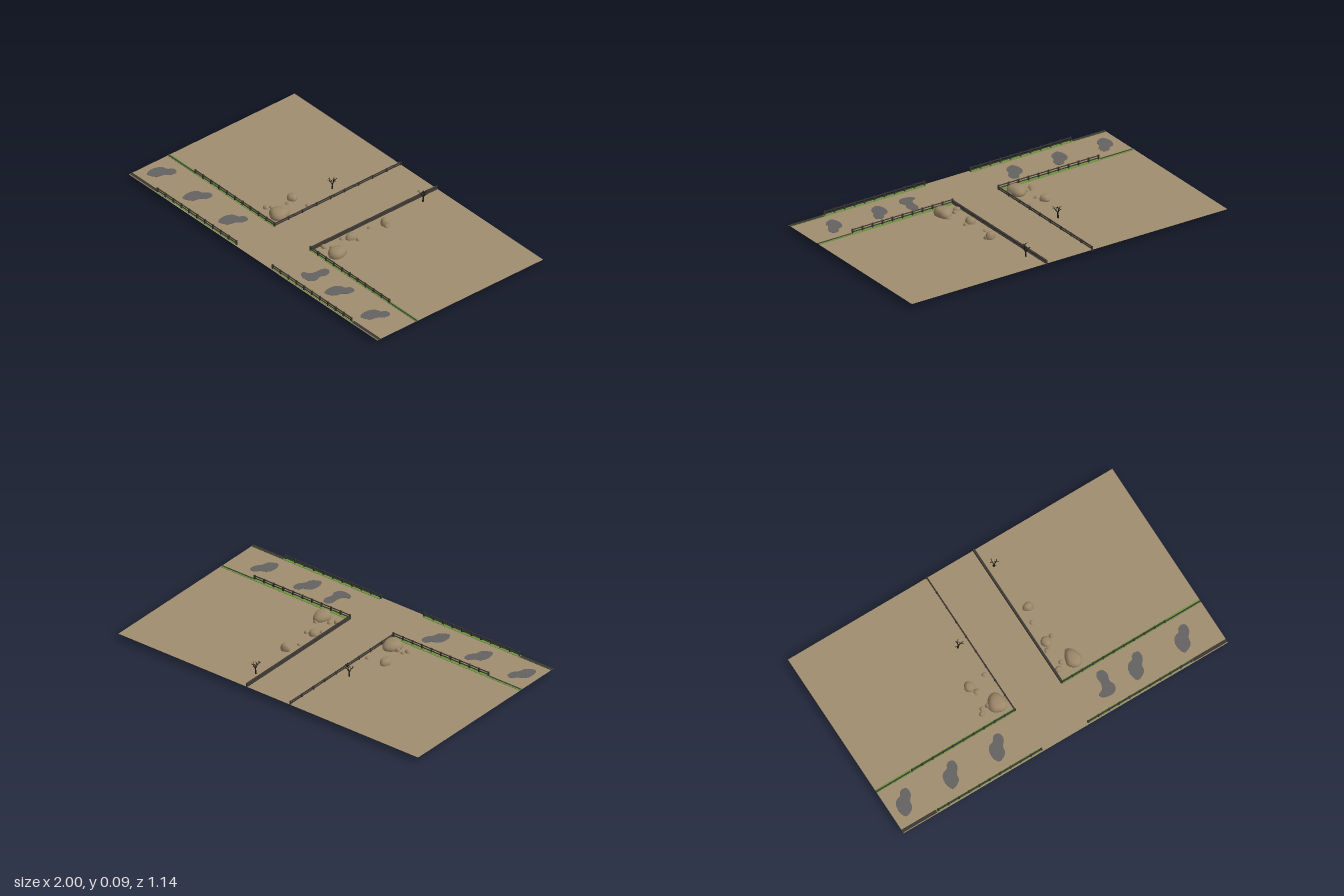
import * as THREE from 'three';
import { mergeVertices } from 'three/addons/utils/BufferGeometryUtils.js';

const GROUND = 0.025;
const mat = (name, color, side = THREE.FrontSide) => {
  const m = new THREE.MeshStandardMaterial({ color, side });
  m.name = name;
  return m;
};

export function createModel() {
  const root = new THREE.Group();
  root.name = 'countryCrossroads';
  const soil = mat('soil', 0xa08d6e, THREE.DoubleSide);
  const stone = mat('stone', 0x9c8869);
  const wood = mat('fenceWood', 0x3b3732);
  const bark = mat('bark', 0x1f1a14);
  const grass = mat('grass', 0x6c9440);
  const water = mat('puddle', 0x656362);

  const add = (name, geo, material, x, y, z, parent = root) => {
    const m = new THREE.Mesh(geo, material);
    m.name = name;
    m.position.set(x, y, z);
    parent.add(m);
    return m;
  };
  const box = (name, w, h, d, material, x, y, z, parent) =>
    add(name, new THREE.BoxGeometry(w, h, d), material, x, y, z, parent);

  // Flat ground sheet
  add('ground', new THREE.PlaneGeometry(2, 1.14).rotateX(-Math.PI / 2), soil, 0, GROUND, 0);

  // Verges and dark trodden strips beside the lane
  for (const s of [-1, 1]) {
    box('innerVerge', 0.855, 0.002, 0.02, grass, s * 0.5725, GROUND + 0.0011, 0.296);
    box('outerVerge', 0.855, 0.002, 0.016, grass, s * 0.5725, GROUND + 0.0011, 0.555);
    box('innerDarkStrip', 0.21, 0.001, 0.008, wood, s * 0.895, GROUND + 0.003, 0.298);
    box('outerDarkStrip', 0.21, 0.001, 0.018, wood, s * 0.895, GROUND + 0.003, 0.557);
  }

  // Post and two-rail fence running along local x
  function fence(name, length, bottom, top, rails, railWidth, railHeight, spacing) {
    const g = new THREE.Group();
    g.name = name;
    const count = Math.round(length / spacing);
    for (let i = 0; i <= count; i++) {
      box('post', 0.008, top - bottom, 0.008, wood, -length / 2 + (i * length) / count, (top + bottom) / 2, 0, g);
    }
    for (const y of rails) box('rail', length, railHeight, railWidth, wood, 0, y, 0, g);
    root.add(g);
    return g;
  }
  for (const s of [-1, 1]) {
    for (const z of [0.3, 0.559]) {
      fence(z < 0.4 ? 'innerLaneFence' : 'outerLaneFence', 0.635, 0.021, 0.051, [0.034, 0.047], 0.005, 0.004, 0.065)
        .position.set(s * 0.4625, 0, z);
    }
    const side = fence('sideFence', 0.865, 0.019, 0.044, s > 0 ? [0.0255, 0.039] : [0.03, 0.041],
      s > 0 ? 0.012 : 0.005, s > 0 ? 0.007 : 0.005, 0.1);
    side.rotation.y = Math.PI / 2;
    side.position.set(s * 0.145, 0, -0.134);
  }

  // Lumpy boulders with a flattened underside
  const ball = new THREE.IcosahedronGeometry(1, 4);
  ball.deleteAttribute('normal');
  ball.deleteAttribute('uv');
  const smoothBall = mergeVertices(ball);
  function rock(x, z, rx, rz, bottom, top, seed) {
    const geo = smoothBall.clone();
    const p = geo.attributes.position;
    const v = new THREE.Vector3();
    for (let i = 0; i < p.count; i++) {
      v.fromBufferAttribute(p, i);
      const lump = 1 + 0.07 * Math.sin(3 * v.x + seed) + 0.06 * Math.sin(4 * v.z + seed * 2.3);
      const q = Math.pow(v.x ** 4 + v.y ** 4 + v.z ** 4, -0.13);
      const y = Math.max(-0.45, Math.min(1, v.y * q));
      p.setXYZ(i, v.x * lump * rx, bottom + ((y + 0.45) / 1.45) * (top - bottom), v.z * lump * rz);
    }
    geo.computeVertexNormals();
    add('boulder', geo, stone, x, 0, z);
  }
  [
    // left of the path
    [-0.207, 0.217, 0.05, 0.056, 0.02, 0.068],
    [-0.168, 0.222, 0.024, 0.024, 0.015, 0.042],
    [-0.3, 0.225, 0.016, 0.015, 0.016, 0.04],
    [-0.287, 0.2, 0.011, 0.011, 0.018, 0.036],
    [-0.252, 0.202, 0.014, 0.014, 0.016, 0.045],
    [-0.277, 0.063, 0.03, 0.03, 0.02, 0.053],
    [-0.257, 0.107, 0.022, 0.022, 0, 0.034],
    [-0.175, 0.045, 0.014, 0.014, 0.012, 0.036],
    // right of the path
    [0.263, 0.217, 0.046, 0.052, 0.02, 0.067],
    [0.265, 0.165, 0.016, 0.015, 0.018, 0.036],
    [0.17, 0.226, 0.019, 0.019, 0.015, 0.04],
    [0.2, 0.2, 0.013, 0.013, 0.017, 0.038],
    [0.195, 0.063, 0.03, 0.03, 0.015, 0.052],
    [0.175, 0.106, 0.016, 0.018, 0.003, 0.034],
    [0.236, 0.048, 0.012, 0.012, 0.013, 0.038],
    [0.215, -0.152, 0.028, 0.024, 0.02, 0.062],
    [0.24, -0.145, 0.011, 0.014, 0.018, 0.04],
    [0.19, -0.068, 0.012, 0.012, 0.02, 0.034],
  ].forEach((r, i) => rock(...r, i * 1.7));

  // Bare trees grown by forking tapered limbs
  const UP = new THREE.Vector3(0, 1, 0);
  function limb(parent, start, dir, length, radius, depth, turn) {
    const end = start.clone().addScaledVector(dir, length);
    const mid = start.clone().lerp(end, 0.5);
    const m = add(depth === 3 ? 'trunk' : 'branch',
      new THREE.CylinderGeometry(radius * 0.6, radius, length, 5), bark, mid.x, mid.y, mid.z, parent);
    m.quaternion.setFromUnitVectors(UP, dir);
    if (depth === 0) return;
    for (let i = 0; i < 3; i++) {
      const a = turn + i * 2.1;
      const d = dir.clone().multiplyScalar(0.8)
        .add(new THREE.Vector3(Math.cos(a) * 0.75, 0.3, Math.sin(a) * 0.75)).normalize();
      const from = start.clone().lerp(end, i === 0 ? 0.98 : 0.65 + 0.14 * i);
      limb(parent, from, d, length * (0.66 - 0.05 * i), radius * 0.58, depth - 1, a + 1.1);
    }
  }
  function tree(x, z, scale, turn) {
    const g = new THREE.Group();
    g.name = 'bareTree';
    limb(g, new THREE.Vector3(), new THREE.Vector3(0.08, 1, 0).normalize(), 0.036, 0.0055, 3, turn);
    g.position.set(x, GROUND - 0.003, z);
    g.scale.setScalar(scale);
    root.add(g);
  }
  tree(-0.212, -0.155, 1, 0.4);
  tree(0.187, -0.438, 1, 2);

  // Puddles: smooth outlines in steps of a hundredth, seen from above
  const kidney = [[-5, 4], [-4.8, -0.5], [-3, -3.2], [0, -4.3], [0.8, -6], [3, -7], [5.2, -6], [5.2, -2.2], [2.8, 1], [2, 4.3], [-0.6, 6.4], [-3.4, 7]];
  const bent = [[-5.3, 3.2], [-2.3, 1.6], [-1, -1.6], [-1, -5.3], [0.5, -8], [3.7, -7.5], [4.8, -4.3], [3.7, -0.5], [4.8, 2.7], [3.2, 5.9], [-0.5, 6.6], [-4.3, 5.4]];
  function puddle(x, outline) {
    const curve = new THREE.CatmullRomCurve3(
      outline.map(([a, b]) => new THREE.Vector3(a * 0.01, -b * 0.01, 0)), true);
    const shape = new THREE.Shape(curve.getPoints(40).slice(0, -1).map((p) => new THREE.Vector2(p.x, p.y)));
    const geo = new THREE.ExtrudeGeometry(shape, { depth: 0.003, bevelEnabled: false })
      .translate(0, 0, -0.0015).rotateX(-Math.PI / 2);
    add('puddle', geo, water, x, GROUND, 0.427);
  }
  for (const x of [-0.905, -0.617, -0.332, 0.525, 0.812]) puddle(x, kidney);
  puddle(0.325, bent);

  return root;
}
